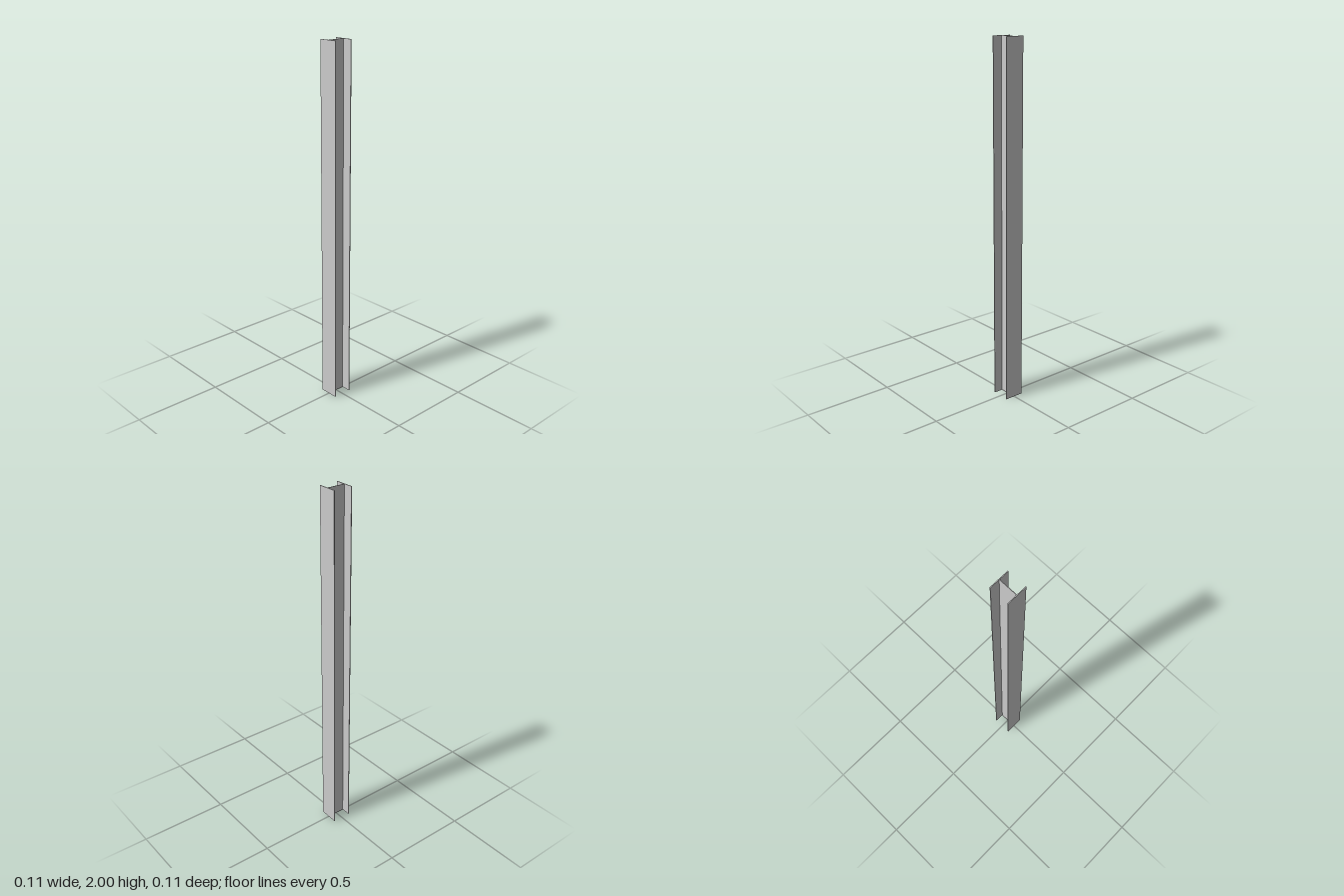
import * as THREE from 'three';

const LENGTH = 2, WIDTH = 0.11, DEPTH = 0.11, FLANGE = 0.004, WEB = 0.003;

export function createModel() {
  const model = new THREE.Group();
  model.name = 'steelColumn';

  // I-shaped cross-section, one outline so web and flanges join cleanly
  const w = WIDTH / 2, d = DEPTH / 2, t = WEB / 2, f = d - FLANGE;
  const section = new THREE.Shape([
    [-w, -d], [w, -d], [w, -f], [t, -f], [t, f], [w, f],
    [w, d], [-w, d], [-w, f], [-t, f], [-t, -f], [-w, -f],
  ].map(([x, y]) => new THREE.Vector2(x, y)));

  // Extrude along the column's length, then stand it upright on the ground
  const geometry = new THREE.ExtrudeGeometry(section, { depth: LENGTH, bevelEnabled: false });
  geometry.rotateX(-Math.PI / 2);

  const beam = new THREE.Mesh(geometry, new THREE.MeshStandardMaterial({ color: 0xcccccc }));
  beam.name = 'iBeam';
  model.add(beam);
  return model;
}
